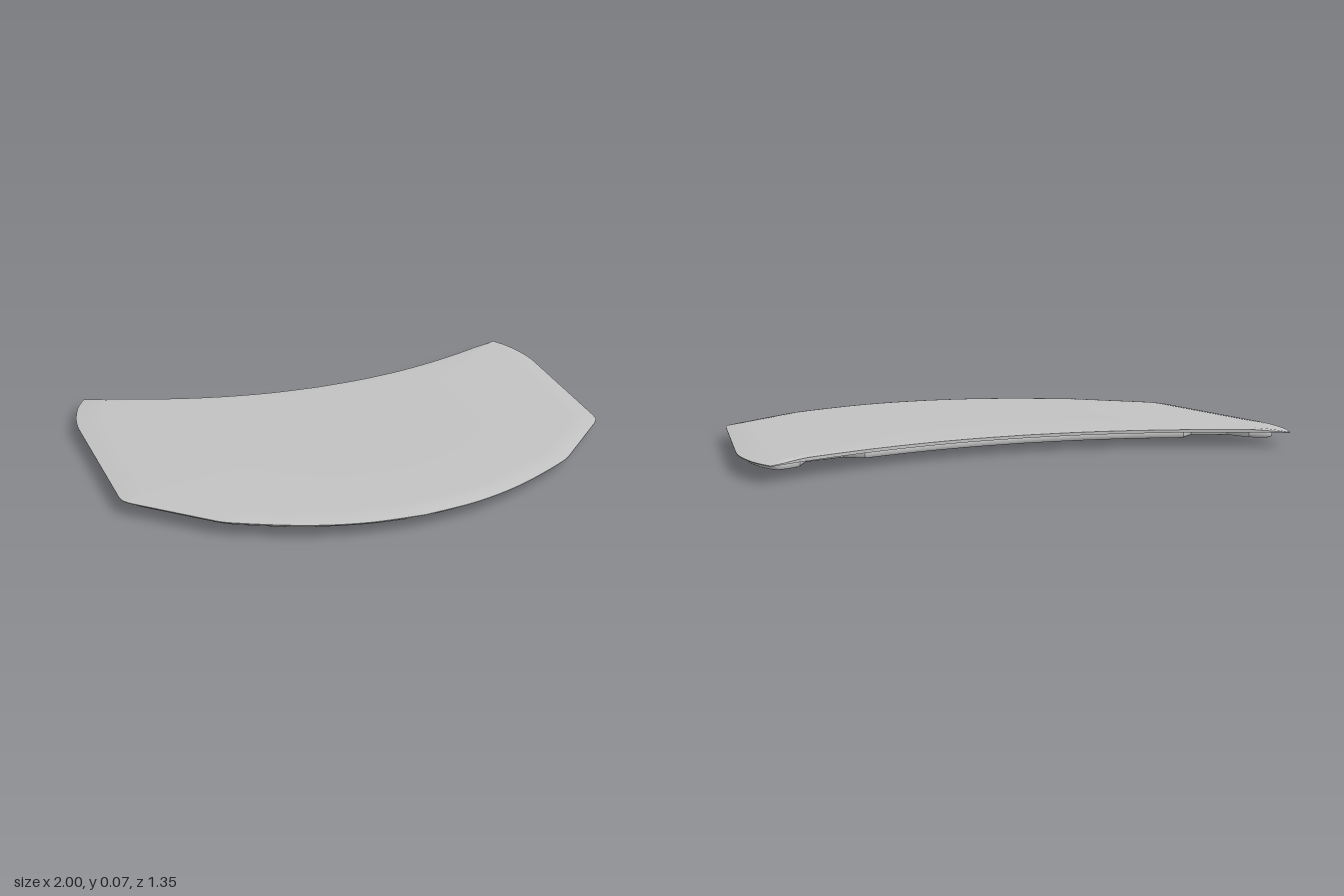
import * as THREE from 'three';
import { toCreasedNormals } from 'three/addons/utils/BufferGeometryUtils.js';

const V = (p) => new THREE.Vector2(p[0], p[1]);

// Closed symmetric contour in (x, z): segments of the +x half run from back to front.
// Segments of more than two points are smoothed.
function contour(...segments) {
  const half = [];
  for (const seg of segments) {
    const pts = seg.map(V);
    const line = pts.length > 2 ? new THREE.SplineCurve(pts).getPoints(pts.length * 6) : pts;
    for (const p of line) {
      if (!half.length || half[half.length - 1].distanceTo(p) > 1e-4) half.push(p);
    }
  }
  const mirrored = half.slice(1, -1).reverse().map((p) => new THREE.Vector2(-p.x, p.y));
  return half.concat(mirrored);
}

// Bevelled plate with the given contour, between two heights
function plate(points, holes, top, bottom, bevel) {
  const shape = new THREE.Shape(points);
  shape.holes = holes.map((h) => new THREE.Path(h));
  const geo = new THREE.ExtrudeGeometry(shape, {
    depth: top - bottom - 2 * bevel,
    bevelEnabled: true,
    bevelThickness: bevel,
    bevelSize: bevel,
    bevelOffset: -bevel,
    bevelSegments: 3,
  });
  geo.rotateX(Math.PI / 2);
  geo.translate(0, top - bevel, 0);
  return toCreasedNormals(geo, 0.6);
}

function circle(x, z, r) {
  return new THREE.Path().absarc(x, z, r, 0, Math.PI * 2).getPoints(8).slice(0, -1);
}

// Crowned outer panel: rings of the outline scaled about one centre
function skinGeometry(outline) {
  const zc = 0.05, crown = 0.066, n = outline.length;
  const rings = [[0, 0], [0.5, 0], [0.88, 0], [0.91, 0.07], [0.94, 0.25], [0.97, 0.58], [1, 1],
    [1, -1], [0.9, -1], [0, -1]];
  const pos = [], index = [];
  for (const [s, drop] of rings) {
    for (const p of outline) {
      const onBack = p.y < -0.4 && Math.abs(p.x) < 0.939;
      const w = onBack ? 0.3 + 0.7 * THREE.MathUtils.smoothstep(Math.abs(p.x), 0.8, 0.94) : 1;
      pos.push(p.x * s, drop < 0 ? 0.052 : crown - 0.011 * w * drop, zc + (p.y - zc) * s);
    }
  }
  for (let k = 0; k < rings.length - 1; k++) {
    for (let i = 0; i < n; i++) {
      const j = (i + 1) % n;
      const a = k * n + i, b = k * n + j, c = a + n, d = b + n;
      if (rings[k][0] > 0) index.push(a, b, d);
      if (rings[k + 1][0] > 0) index.push(a, d, c);
      else index.push(a, b, c);
    }
  }
  const geo = new THREE.BufferGeometry();
  geo.setAttribute('position', new THREE.Float32BufferAttribute(pos, 3));
  geo.setIndex(index);
  return toCreasedNormals(geo, 0.6);
}

export function createModel() {
  const group = new THREE.Group();
  const metal = new THREE.MeshStandardMaterial({ color: 0xc2c2c2 });
  metal.name = 'light grey metal';

  const add = (name, geo, parent = group) => {
    const mesh = new THREE.Mesh(geo, metal);
    mesh.name = name;
    parent.add(mesh);
    return mesh;
  };

  // Outer skin
  const outline = contour(
    [[0, -0.445], [0.2, -0.456], [0.4, -0.488], [0.6, -0.541], [0.8, -0.614], [0.94, -0.68]],
    [[0.94, -0.68], [0.972, -0.61], [0.993, -0.52], [1, -0.44], [0.997, -0.38]],
    [[0.997, -0.38], [0.945, 0.19]],
    [[0.945, 0.19], [0.935, 0.225], [0.91, 0.255]],
    [[0.91, 0.255], [0.69, 0.45]],
    [[0.69, 0.45], [0.62, 0.5], [0.4, 0.6], [0.2, 0.655], [0, 0.674]],
  );
  add('outerSkin', skinGeometry(outline));

  // Inner frame with a stepped rear edge and a latch notch in front
  const frame = contour(
    [[0, -0.415], [0.2, -0.426], [0.4, -0.457], [0.6, -0.508]],
    [[0.6, -0.508], [0.66, -0.465]],
    [[0.66, -0.465], [0.79, -0.505]],
    [[0.79, -0.505], [0.83, -0.585]],
    [[0.83, -0.585], [0.905, -0.612], [0.945, -0.55], [0.965, -0.48], [0.97, -0.42]],
    [[0.97, -0.42], [0.915, 0.19]],
    [[0.915, 0.19], [0.905, 0.215], [0.885, 0.24]],
    [[0.885, 0.24], [0.67, 0.43]],
    [[0.67, 0.43], [0.6, 0.477], [0.4, 0.568], [0.2, 0.623], [0.05, 0.642]],
    [[0.05, 0.642], [0.03, 0.59]],
    [[0.03, 0.59], [0, 0.59]],
  );
  const opening = contour(
    [[0, -0.29], [0.7, -0.29]],
    [[0.7, -0.29], [0.765, -0.27], [0.78, -0.21], [0.75, 0.05], [0.64, 0.24], [0.4, 0.41],
      [0.2, 0.47], [0, 0.49]],
  );
  const shrink = (sx, sz) =>
    opening.map((p) => new THREE.Vector2(p.x * sx, 0.1 + (p.y - 0.1) * sz));
  const bufferHoles = [];
  for (const s of [-1, 1]) {
    bufferHoles.push(circle(s * 0.67, 0.365, 0.024), circle(s * 0.46, 0.488, 0.024));
  }
  add('innerFrame', plate(frame, [opening, ...bufferHoles], 0.054, 0.027, 0.009));

  // Recessed floor, stiffening ring and centre panel
  add('grooveFloor', plate(shrink(1.01, 1.01), [], 0.054, 0.046, 0.001));
  add('stiffeningRing', plate(shrink(0.93, 0.88), [shrink(0.85, 0.72)], 0.052, 0.029, 0.009));
  add('centrePanel', plate(shrink(0.8, 0.66), [], 0.052, 0.042, 0.002));

  // Hinge mounts under both sides
  for (const s of [-1, 1]) {
    const hinge = new THREE.Group();
    hinge.name = s > 0 ? 'leftHingeMount' : 'rightHingeMount';
    hinge.position.set(s * 0.892, 0, -0.27);
    group.add(hinge);
    add('hingePlate', new THREE.BoxGeometry(0.042, 0.01, 0.155), hinge).position.y = 0.024;
    for (let i = 0; i < 4; i++) {
      const z = (i - 1.5) * 0.036;
      add('hingeBlock', new THREE.BoxGeometry(0.024, 0.02, 0.03), hinge).position.set(0, 0.01, z);
    }
    add('hingeRail', new THREE.BoxGeometry(0.012, 0.014, 0.138), hinge).position.y = 0.012;

    // Small locating tabs near the rear corner
    for (const z of [-0.44, -0.49]) {
      add('locatingTab', new THREE.BoxGeometry(0.035, 0.008, 0.014)).position.set(s * 0.86, 0.025, z);
    }
  }
  return group;
}
